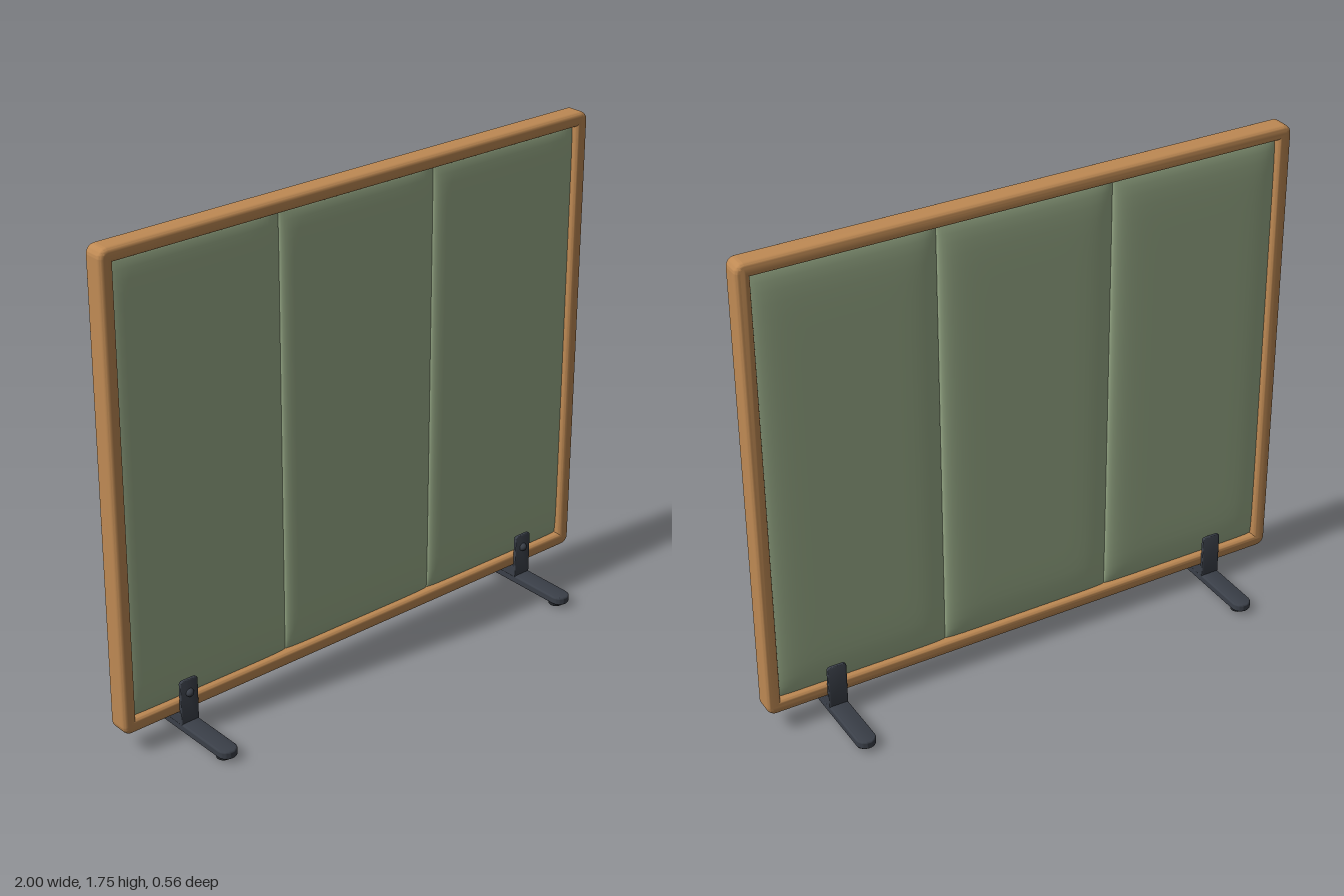
import * as THREE from 'three';
import { RoundedBoxGeometry } from 'three/addons/geometries/RoundedBoxGeometry.js';
import { toCreasedNormals } from 'three/addons/utils/BufferGeometryUtils.js';

const material = (name, color) => {
  const m = new THREE.MeshStandardMaterial({ color });
  m.name = name;
  return m;
};

function roundedRect(Type, x0, y0, x1, y1, r) {
  const s = new Type();
  s.absarc(x1 - r, y0 + r, r, -Math.PI / 2, 0);
  s.absarc(x1 - r, y1 - r, r, 0, Math.PI / 2);
  s.absarc(x0 + r, y1 - r, r, Math.PI / 2, Math.PI);
  s.absarc(x0 + r, y0 + r, r, Math.PI, Math.PI * 1.5);
  s.closePath();
  return s;
}

// Extrusion with rounded edges, centred in depth; the shape is drawn inset by the bevel
function bevelled(shape, depth, bevel) {
  const g = new THREE.ExtrudeGeometry(shape, {
    depth: depth - 2 * bevel, bevelSize: bevel, bevelThickness: bevel, bevelSegments: 5, curveSegments: 8,
  });
  g.translate(0, 0, -depth / 2 + bevel);
  return toCreasedNormals(g, 0.6);
}

// Padded panel: a box whose two faces swell towards the middle
function cushion(w, h, edge, puff) {
  const g = new THREE.BoxGeometry(2, 2, 2, 28, 28, 1);
  const p = g.attributes.position;
  for (let i = 0; i < p.count; i++) {
    const u = Math.sin(p.getX(i) * Math.PI / 2);
    const v = Math.sin(p.getY(i) * Math.PI / 2);
    const swell = Math.sqrt(Math.max(0, (1 - u ** 8) * (1 - v ** 16)));
    p.setXYZ(i, u * w / 2, v * h / 2, Math.sign(p.getZ(i)) * (edge + puff * swell));
  }
  g.computeVertexNormals();
  return g;
}

export function createModel() {
  const wood = material('wood', 0xbf8a54);
  const fabric = material('sage fabric', 0x9caf8b);
  const metal = material('dark metal', 0x3a3f48);
  const rubber = material('black rubber', 0x22252a);

  const model = new THREE.Group();
  model.name = 'partitionScreen';
  const add = (parent, name, geometry, mat, x = 0, y = 0, z = 0) => {
    const mesh = new THREE.Mesh(geometry, mat);
    mesh.name = name;
    mesh.position.set(x, y, z);
    parent.add(mesh);
    return mesh;
  };

  // Wooden frame with rounded edges
  const b = 0.016;
  const outline = roundedRect(THREE.Shape, -1 + b, 0.08 + b, 1 - b, 1.75 - b, 0.016);
  outline.holes.push(roundedRect(THREE.Path, -0.95 - b, 0.13 - b, 0.95 + b, 1.70 + b, 0.004));
  add(model, 'frame', bevelled(outline, 0.08, b), wood);

  // Three padded panels, tucked slightly into the frame
  const panel = cushion(0.64, 1.59, 0.008, 0.02);
  for (const i of [-1, 0, 1]) add(model, 'paddedPanel', panel, fabric, i * 0.64, 0.915, 0);

  // Two feet with clamps
  const footGeometry = bevelled(roundedRect(THREE.Shape, -0.028, -0.273, 0.028, 0.273, 0.0279), 0.03, 0.007);
  footGeometry.rotateX(-Math.PI / 2);
  const plate = bevelled(roundedRect(THREE.Shape, -0.031, 0.034, 0.031, 0.201, 0.008), 0.013, 0.004);
  const base = new RoundedBoxGeometry(0.07, 0.042, 0.1, 2, 0.004);
  const pad = new THREE.CylinderGeometry(0.025, 0.025, 0.018, 24);
  const bolt = new THREE.SphereGeometry(0.015, 20, 10, 0, Math.PI * 2, 0, Math.PI / 2);
  bolt.rotateX(Math.PI / 2);

  for (const side of [-1, 1]) {
    const foot = new THREE.Group();
    foot.name = side > 0 ? 'leftFoot' : 'rightFoot';
    foot.position.x = side * 0.75;
    add(foot, 'footBar', footGeometry, metal, 0, 0.03, 0);
    add(foot, 'clampBase', base, metal, 0, 0.06, 0);
    for (const z of [-1, 1]) {
      add(foot, 'clampPlate', plate, metal, 0, 0, z * 0.0465);
      add(foot, 'rubberPad', pad, rubber, 0, 0.009, z * 0.23);
    }
    add(foot, 'clampBolt', bolt, metal, 0, 0.155, 0.052);
    model.add(foot);
  }
  return model;
}
